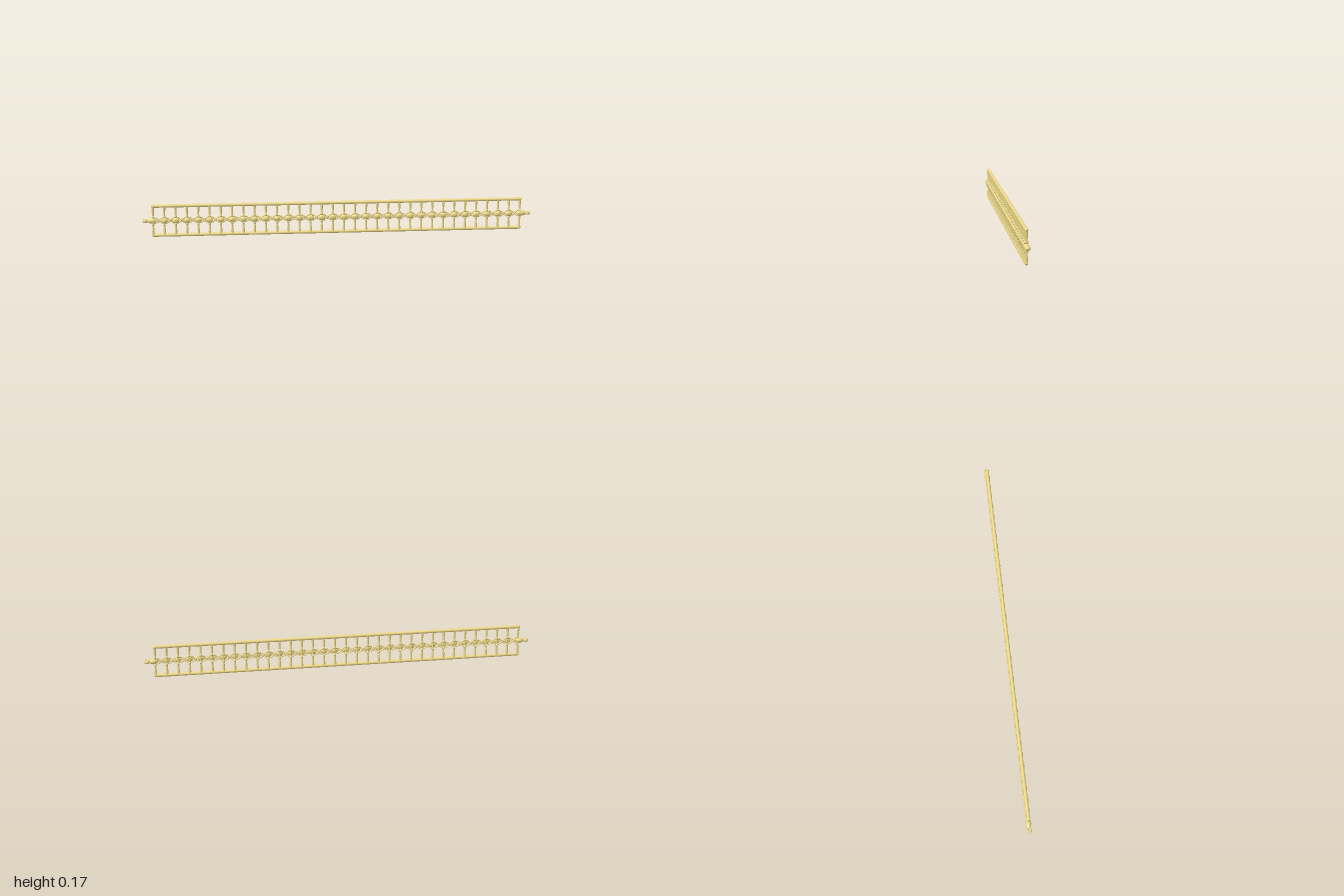
import * as THREE from 'three';

const MID = 0.0845, RAIL = 0.076, HALF = 0.945, COUNT = 34;
const STEP = (2 * HALF) / (COUNT - 1);

export function createModel() {
  const model = new THREE.Group();
  const gold = new THREE.MeshStandardMaterial({ color: 0xecd888 });

  const add = (name, geometry, x, y, z = 0, parent = model) => {
    const mesh = new THREE.Mesh(geometry, gold);
    mesh.name = name;
    mesh.position.set(x, y, z);
    parent.add(mesh);
    return mesh;
  };
  const lathe = (points, sides) =>
    new THREE.LatheGeometry(points.map(([r, y]) => new THREE.Vector2(r, y)), sides);

  // Long rounded rails along the top and bottom
  const railGeo = new THREE.CapsuleGeometry(0.0085, 2 * HALF, 6, 16).rotateZ(Math.PI / 2);
  for (const s of [1, -1]) add(s > 0 ? 'topRail' : 'bottomRail', railGeo, 0, MID + s * RAIL);

  // Shared shapes of the repeating spindle
  const spindleGeo = lathe([[0.004, 0], [0.005, 0.018], [0.0055, 0.032], [0.007, 0.052], [0.0083, RAIL]], 12);
  const collarGeo = lathe([[0.003, 0.014], [0.0095, 0.0145], [0.0105, 0.019], [0.0105, 0.025], [0.004, 0.026]], 12);

  // Domed bead on the front of the lattice
  const beadGeo = new THREE.SphereGeometry(1, 16, 10).scale(0.018, 0.014, 0.008);

  for (let i = 0; i < COUNT; i++) {
    const x = -HALF + i * STEP;
    for (const s of [1, -1]) {
      const half = new THREE.Group();
      half.name = s > 0 ? 'upperSpindle' : 'lowerSpindle';
      half.position.set(x, MID, 0);
      if (s < 0) half.rotation.x = Math.PI;
      add('post', spindleGeo, 0, 0, 0, half).scale.x = 0.85;
      add('collar', collarGeo, 0, 0, 0, half).scale.x = 0.55;
      model.add(half);
    }
    add('centreBead', beadGeo, x, MID, 0.006);
  }

  // Crossed strands woven between neighbouring beads
  const strand = (s) => new THREE.TubeGeometry(new THREE.CatmullRomCurve3([
    new THREE.Vector3(-STEP / 2, -0.016 * s, -0.004 * s),
    new THREE.Vector3(-0.012, -0.011 * s, 0.004 * s),
    new THREE.Vector3(0, 0, 0.006 * s),
    new THREE.Vector3(0.012, 0.011 * s, 0.004 * s),
    new THREE.Vector3(STEP / 2, 0.016 * s, -0.004 * s),
  ]), 10, 0.0032, 8);
  const strands = [strand(1), strand(-1)];
  const knotGeo = new THREE.TorusGeometry(0.007, 0.0028, 8, 14);
  for (let i = 0; i < COUNT - 1; i++) {
    const x = -HALF + (i + 0.5) * STEP;
    for (const geo of strands) add('crossedStrand', geo, x, MID);
    add('knot', knotGeo, x, MID);
  }

  // Tapered end bead and flat eyelet at each end
  const endGeo = lathe([[0, -0.02], [0.011, -0.014], [0.0145, 0], [0.012, 0.012], [0.007, 0.022], [0, 0.025]], 16)
    .rotateZ(-Math.PI / 2);
  const eyeGeo = new THREE.TorusGeometry(0.0098, 0.0045, 10, 24).rotateX(Math.PI / 2).scale(1, 1.8, 1);
  for (const s of [1, -1]) {
    const end = new THREE.Group();
    end.name = s > 0 ? 'leftEnd' : 'rightEnd';
    end.position.y = MID;
    if (s < 0) end.rotation.y = Math.PI;
    add('endBead', endGeo, 0.952, 0, 0, end);
    add('eyelet', eyeGeo, 0.9857, 0, 0, end);
    model.add(end);
  }
  return model;
}
